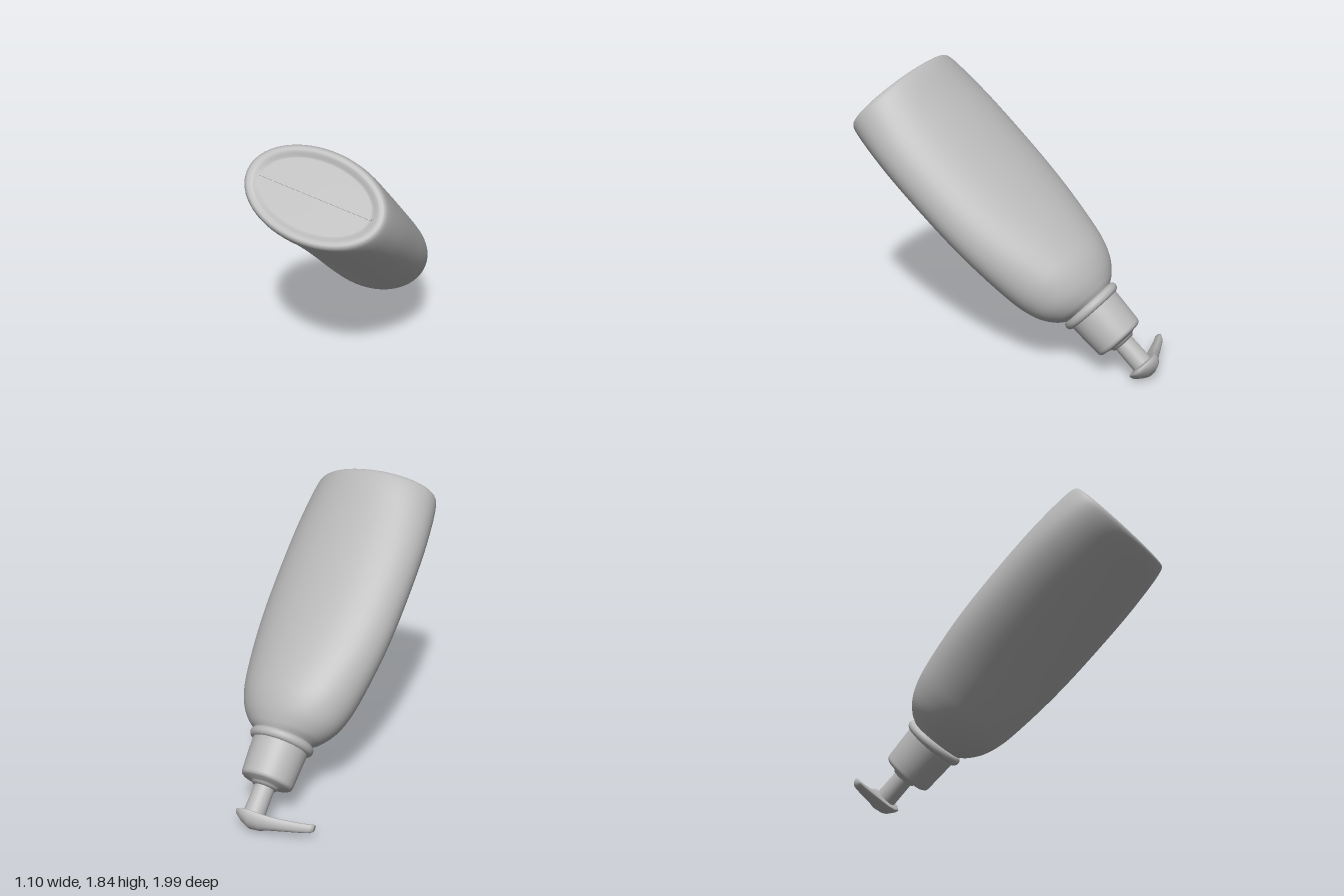
import * as THREE from 'three';

const SIDES = 64;

// Skin over a list of closed rings; the ends close onto their centres
function loft(rings) {
  const n = rings[0].length, pos = [], idx = [];
  rings.forEach(r => r.forEach(p => pos.push(p.x, p.y, p.z)));
  for (let i = 0; i < rings.length - 1; i++) {
    for (let j = 0; j < n; j++) {
      const a = i * n + j, b = i * n + (j + 1) % n;
      idx.push(a, a + n, b, b, a + n, b + n);
    }
  }
  [0, rings.length - 1].forEach(k => {
    const c = new THREE.Vector3();
    rings[k].forEach(p => c.addScaledVector(p, 1 / n));
    const ci = pos.length / 3;
    pos.push(c.x, c.y, c.z);
    for (let j = 0; j < n; j++) {
      const a = k * n + j, b = k * n + (j + 1) % n;
      if (k === 0) idx.push(ci, a, b); else idx.push(ci, b, a);
    }
  });
  const g = new THREE.BufferGeometry();
  g.setAttribute('position', new THREE.Float32BufferAttribute(pos, 3));
  g.setIndex(idx);
  g.computeVertexNormals();
  return g;
}

function ring(fn) {
  return Array.from({ length: SIDES }, (_, j) => {
    const t = j / SIDES * Math.PI * 2;
    return fn(Math.cos(t), Math.sin(t));
  });
}

const oval = (a, y, b) => ring((c, s) => new THREE.Vector3(a * c, y, b * s));
const smooth = (pts, n) =>
  new THREE.CatmullRomCurve3(pts.map(p => new THREE.Vector3(...p))).getPoints(n);

export function createModel() {
  const grey = new THREE.MeshStandardMaterial({ color: 0xb8b8b8 });
  grey.name = 'plain grey';
  const model = new THREE.Group();
  model.name = 'pumpBottle';
  const bottle = new THREE.Group();
  bottle.name = 'bottle';
  model.add(bottle);

  const add = (name, geometry, parent = bottle) => {
    const m = new THREE.Mesh(geometry, grey);
    m.name = name;
    parent.add(m);
    return m;
  };
  const turned = pts => new THREE.LatheGeometry(pts.map(p => new THREE.Vector2(...p)), 48);

  // Body: oval sections (half width, distance from base, half depth)
  const recess = [[0.345, 0.02, 0.2], [0.36, 0.018, 0.212], [0.375, 0.006, 0.225]];
  const wall = smooth([
    [0.395, 0, 0.24], [0.425, 0.004, 0.266], [0.442, 0.03, 0.28],
    [0.485, 0.3, 0.272], [0.496, 0.7, 0.264], [0.476, 1.1, 0.266],
    [0.42, 1.43, 0.276], [0.378, 1.58, 0.272], [0.325, 1.69, 0.243],
    [0.25, 1.77, 0.2], [0.18, 1.815, 0.165], [0.16, 1.85, 0.16],
  ], 70).map(p => oval(p.x, p.y, p.z));
  add('body', loft([...recess.map(p => oval(...p)), ...wall]));

  // Seam across the recessed base
  const seam = add('baseSeam', new THREE.BoxGeometry(0.72, 0.012, 0.012));
  seam.position.y = 0.016;

  // Ring around the neck
  const collar = add('neckRing', new THREE.TorusGeometry(0.175, 0.032, 16, 56));
  collar.rotation.x = Math.PI / 2;
  collar.position.y = 1.832;

  // Screw cap with a softened lip
  add('cap', turned([
    [0, 1.82], [0.178, 1.82], [0.178, 1.87], [0.172, 2.0], [0.167, 2.085],
    [0.162, 2.1], [0.148, 2.11], [0.1, 2.118], [0.085, 2.126], [0.075, 2.14], [0, 2.14],
  ]));

  // Pump stem
  const stem = add('stem', new THREE.CylinderGeometry(0.068, 0.064, 0.24, 40));
  stem.position.y = 2.22;

  // Pump head: domed disc narrowing into a drooping spout
  // (distance along spout, half width, underside height, dome height)
  const sections = [
    [-0.112, 0.02, 0.004, 0.012], [-0.1, 0.055, 0.002, 0.026],
    [-0.06, 0.094, 0, 0.058], [0, 0.107, 0, 0.085], [0.06, 0.09, 0, 0.08],
    [0.12, 0.062, -0.004, 0.066], [0.2, 0.046, -0.012, 0.056],
    [0.3, 0.036, -0.025, 0.047], [0.37, 0.031, -0.036, 0.04], [0.39, 0.025, -0.042, 0.032],
  ];
  const head = new THREE.Group();
  head.name = 'pumpHead';
  add('headAndSpout', loft(sections.map(([u, hw, z, top]) =>
    ring((c, s) => new THREE.Vector3(hw * c, u, z + (s > 0 ? top * s : 0.012 * s)))
  )), head);
  const up = new THREE.Vector3(0, 1, 0);
  const out = new THREE.Vector3(-0.94, 0, -0.32).normalize();
  head.setRotationFromMatrix(new THREE.Matrix4().makeBasis(
    new THREE.Vector3().crossVectors(out, up), out, up));
  head.position.y = 2.322;
  bottle.add(head);

  // Tip the bottle over, base up to the front and pump down to the back
  const axis = new THREE.Vector3(0.216, -0.662, -0.717).normalize();
  const wide = new THREE.Vector3(0.89, -0.155, 0.428);
  wide.addScaledVector(axis, -wide.dot(axis)).normalize();
  const deep = new THREE.Vector3().crossVectors(wide, axis);
  bottle.setRotationFromMatrix(new THREE.Matrix4().makeBasis(wide, axis, deep));
  bottle.position.set(-0.14, 1.65, 0.755);

  // Settle on the ground, centred
  model.updateMatrixWorld(true);
  const box = new THREE.Box3().setFromObject(model, true);
  const mid = box.getCenter(new THREE.Vector3());
  bottle.position.sub(new THREE.Vector3(mid.x, box.min.y, mid.z));
  return model;
}
